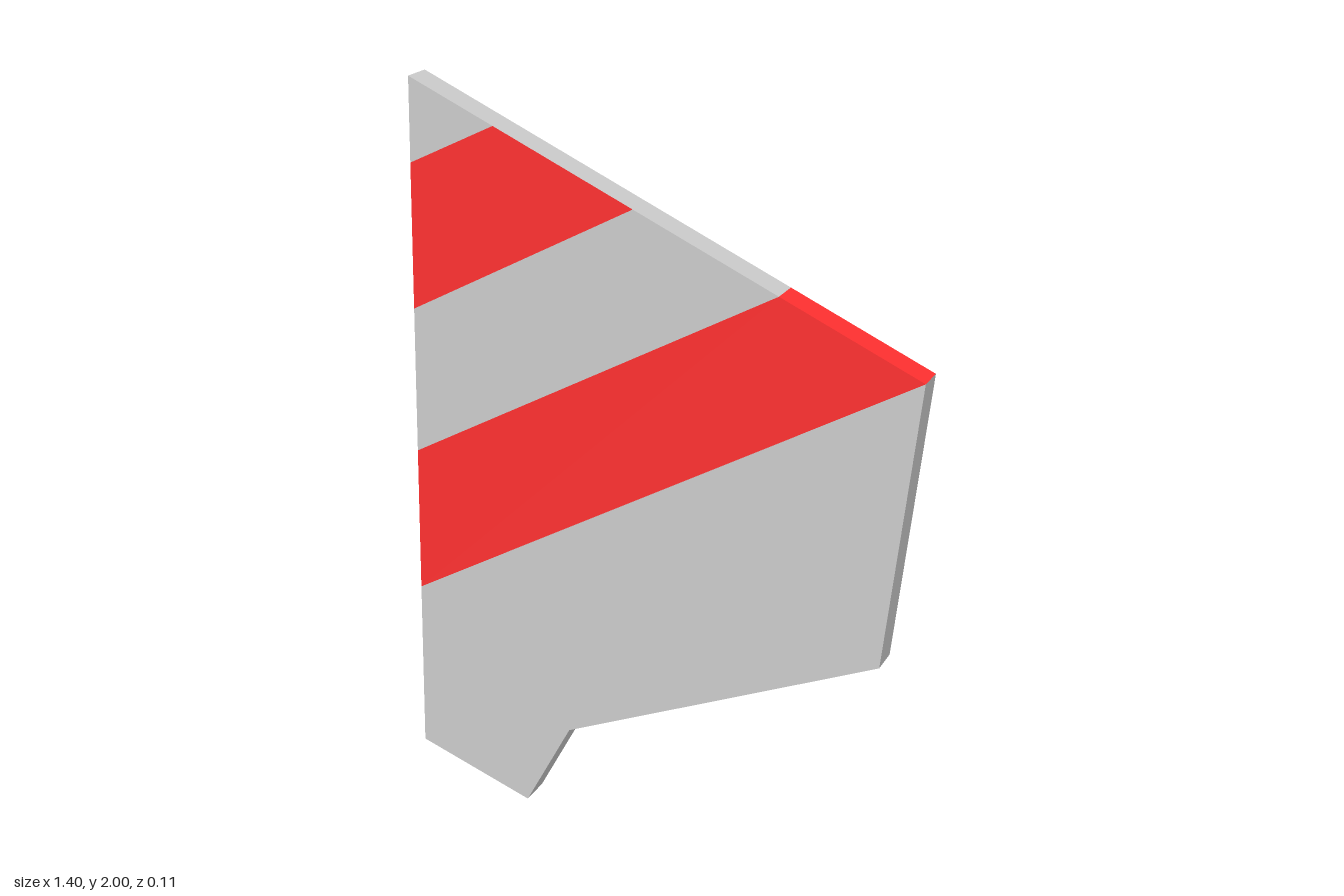
import * as THREE from 'three';
import { mergeGeometries } from 'three/addons/utils/BufferGeometryUtils.js';

const HALF = 0.055; // half thickness of the plate
const LEFT = -0.705; // straight side of the plate
const grey = new THREE.MeshStandardMaterial({ color: 0xcccccc });
const red = new THREE.MeshStandardMaterial({ color: 0xff3030 });

// Point on the sloping top edge
const slope = (x) => [x, 2 - ((x - LEFT) * 0.715) / 1.405];

// Front and back faces of one colour band (corners anticlockwise)
function faces(points) {
  const shape = new THREE.Shape(points.map(([x, y]) => new THREE.Vector2(x, y)));
  const front = new THREE.ShapeGeometry(shape).translate(0, 0, HALF);
  const mirrored = new THREE.Shape(points.map(([x, y]) => new THREE.Vector2(-x, y)));
  const back = new THREE.ShapeGeometry(mirrored).translate(0, 0, HALF).rotateY(Math.PI);
  return mergeGeometries([front, back]);
}

// Flat strip of the rim between two neighbouring corners
function wall([ax, ay], [bx, by]) {
  const g = new THREE.PlaneGeometry(Math.hypot(bx - ax, by - ay), 2 * HALF);
  g.rotateX(Math.PI / 2);
  g.rotateZ(Math.atan2(by - ay, bx - ax));
  return g.translate((ax + bx) / 2, (ay + by) / 2, 0);
}

export function createModel() {
  const group = new THREE.Group();
  const add = (name, geometry, material) => {
    const mesh = new THREE.Mesh(geometry, material);
    mesh.name = name;
    group.add(mesh);
  };

  // Corners where the stripes meet the straight side and the sloping edge
  const side = [0.59, 0.98, 1.375, 1.77].map((y) => [LEFT, y]);
  const top = [0.7, 0.31, -0.085, -0.47].map(slope);
  const peak = [LEFT, 2];

  // Bands from bottom to top; rim lists the outer edges by first corner
  const bands = [
    { name: 'lowerPlate', mat: grey, rim: [0, 1, 2, 3, 5],
      pts: [[LEFT, 0.14], [-0.4, 0], [-0.275, 0.22], [0.595, 0.505], top[0], side[0]] },
    { name: 'lowerStripe', mat: red, rim: [1, 3], pts: [side[0], top[0], top[1], side[1]] },
    { name: 'middlePlate', mat: grey, rim: [1, 3], pts: [side[1], top[1], top[2], side[2]] },
    { name: 'upperStripe', mat: red, rim: [3], pts: [side[2], top[2], top[3], side[3]] },
    { name: 'upperPlate', mat: grey, rim: [1, 2], pts: [side[3], top[3], peak] },
  ];
  for (const { name, mat, rim, pts } of bands) {
    const walls = rim.map((i) => wall(pts[i], pts[(i + 1) % pts.length]));
    add(name, mergeGeometries([faces(pts), ...walls]), mat);
  }

  // The sloping edge stays grey above the upper stripe
  add('upperStripeEdge', wall(top[2], top[3]), grey);
  return group;
}
